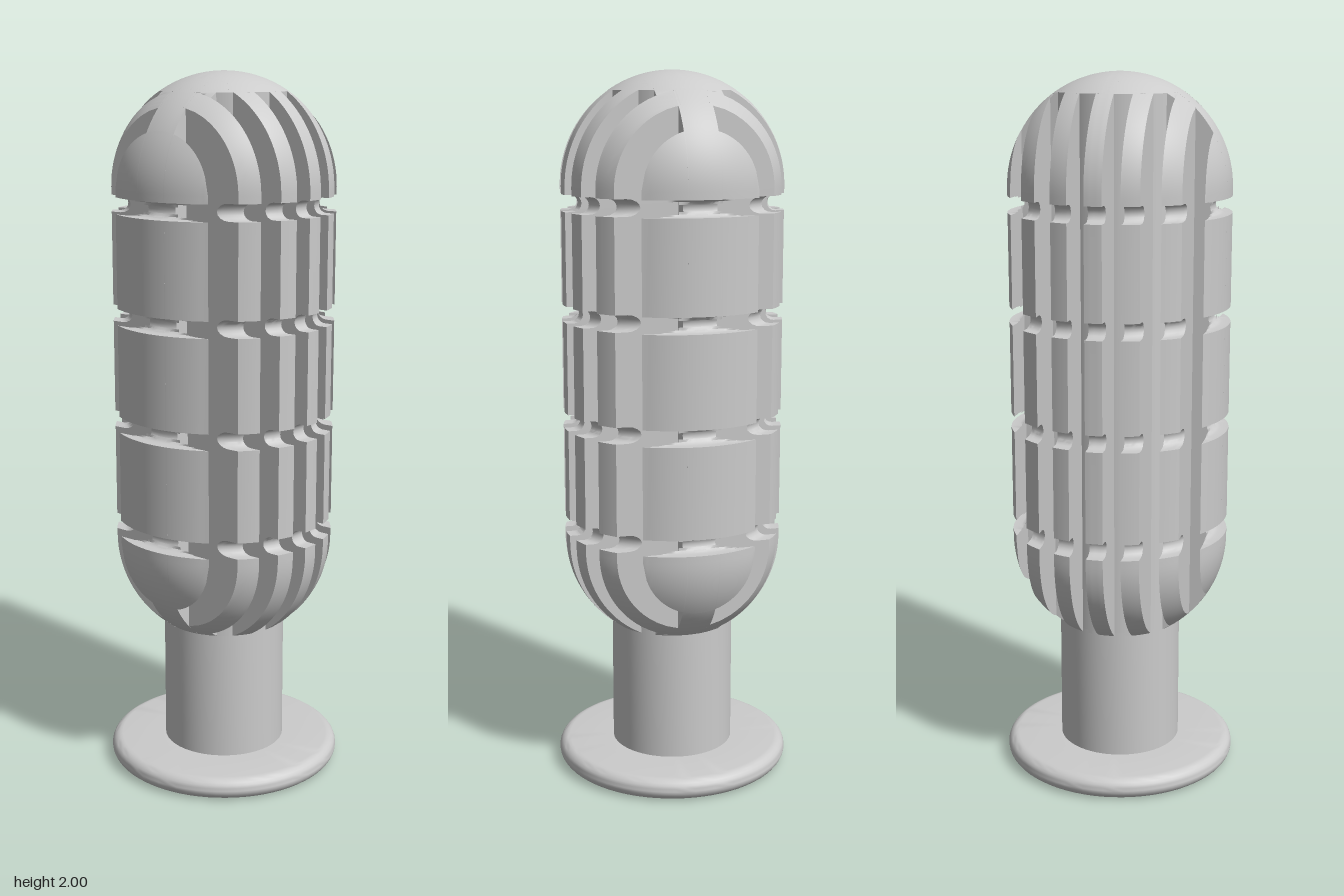
import * as THREE from 'three';
import { toCreasedNormals } from 'three/addons/utils/BufferGeometryUtils.js';

const R = 0.31, CORE = 0.175;        // capsule and core radii
const LOW = 0.69, HIGH = 1.69;       // centres of the two domes
const GROOVES = [0.733, 1.038, 1.342, 1.646];

const material = new THREE.MeshStandardMaterial({ color: 0xcccccc });

function addMesh(parent, name, geometry, angle = 0.6) {
  const mesh = new THREE.Mesh(toCreasedNormals(geometry, angle), material);
  mesh.name = name;
  parent.add(mesh);
  return mesh;
}

// Points of an arc, from angle a to b
function arc(cx, cy, r, a, b, n) {
  return Array.from({ length: n + 1 }, (_, i) => {
    const t = a + (b - a) * i / n;
    return new THREE.Vector2(Math.max(0, cx + r * Math.cos(t)), cy + r * Math.sin(t));
  });
}

// Capsule outline [radius, height] with four round-bottomed ring grooves
function capsuleProfile() {
  const g = 0.023, q = Math.PI / 2;
  const pts = arc(0, LOW, R, -q, 0, 28);
  for (const y of GROOVES) {
    pts.push(new THREE.Vector2(R, y - g), ...arc(R - g, y, g, -q, -3 * q, 8), new THREE.Vector2(R, y + g));
  }
  return pts.concat(arc(0, HIGH, R, 0, q, 28));
}
const profile = capsuleProfile();

// Slice of the capsule between x = u0 and u1, reaching from z = inner out to the
// capsule surface (or to z = outer where that is nearer)
function sliceGeometry(u0, u1, inner, outer = 1, cols = 6) {
  const pos = [];
  const front = [], back = [];
  for (let i = 0; i <= cols; i++) {
    const u = u0 + (u1 - u0) * i / cols;
    const h = Math.sqrt(Math.max(0, R * R - u * u - inner * inner));
    front.push([]);
    back.push([]);
    for (const p of profile) {
      const y = Math.min(HIGH + h, Math.max(LOW - h, p.y));
      const z = y === p.y ? Math.sqrt(Math.max(0, p.x * p.x - u * u)) : inner;
      front[i].push([u, y, Math.min(outer, Math.max(inner, z))]);
      back[i].push([u, y, inner]);
    }
  }
  const quad = (a, b, c, d) => {
    for (const p of [a, b, c, a, c, d]) pos.push(...p);
  };
  const solid = (...pts) => pts.some(p => p[2] > inner + 1e-5);
  for (let j = 0; j < profile.length - 1; j++) {
    // Outer skin and inner wall
    for (let i = 0; i < cols; i++) {
      const f = [front[i][j], front[i + 1][j], front[i + 1][j + 1], front[i][j + 1]];
      if (!solid(...f)) continue;
      quad(...f);
      quad(back[i][j], back[i][j + 1], back[i + 1][j + 1], back[i + 1][j]);
    }
    // Flat side walls
    const [a, b] = [front[0], back[0]];
    if (solid(a[j], a[j + 1])) quad(b[j], a[j], a[j + 1], b[j + 1]);
    const [c, d] = [front[cols], back[cols]];
    if (solid(c[j], c[j + 1])) quad(c[j], d[j], d[j + 1], c[j + 1]);
  }
  const geometry = new THREE.BufferGeometry();
  geometry.setAttribute('position', new THREE.Float32BufferAttribute(pos, 3));
  return geometry;
}

export function createModel() {
  const model = new THREE.Group();
  model.name = 'slottedCapsuleOnStand';
  const V = (x, y) => new THREE.Vector2(x, y);
  const dome = Math.sqrt(R * R - CORE * CORE);

  // Hollow stem with a round-edged foot
  addMesh(model, 'stemAndFoot', new THREE.LatheGeometry([
    V(0, 0.43), V(0.139, 0.43), V(0.139, 0),
    ...arc(0.305, 0.031, 0.031, -Math.PI / 2, Math.PI / 2, 12),
    V(CORE, 0.062), V(CORE, LOW - dome + 0.01),
  ], 72));

  // Central core, closed by the top of the dome
  addMesh(model, 'core', new THREE.LatheGeometry([
    V(CORE, LOW - dome), V(CORE, HIGH + dome),
    ...arc(0, HIGH, R, Math.acos(CORE / R), Math.PI / 2, 14).slice(1),
  ], 72));

  // Upright fins on the front and back
  const body = new THREE.Group();
  body.name = 'finnedBody';
  model.add(body);
  const fins = [
    [-0.024, 0.024, 0.1],
    [0.072, 0.12, 0.1], [-0.12, -0.072, 0.1],
    [0.17, 0.217, 0.04], [-0.217, -0.17, 0.04],
  ];
  for (const turn of [0, Math.PI]) {
    for (const [u0, u1, inner] of fins) {
      addMesh(body, turn ? 'backFin' : 'frontFin', sliceGeometry(u0, u1, inner)).rotation.y = turn;
    }
  }

  // Side shells, the webs that carry them, and the thickening beside the core
  for (const side of [1, -1]) {
    const half = new THREE.Group();
    half.name = side > 0 ? 'leftSide' : 'rightSide';
    half.rotation.y = side * Math.PI / 2;
    body.add(half);
    addMesh(half, 'sideShell', sliceGeometry(-0.161, 0.161, 0.266, 1, 32));
    addMesh(half, 'web', sliceGeometry(-0.047, 0.047, 0.1));
    addMesh(half, 'coreShoulder', sliceGeometry(-0.093, 0.093, 0.1, 0.172, 10));
  }
  return model;
}
